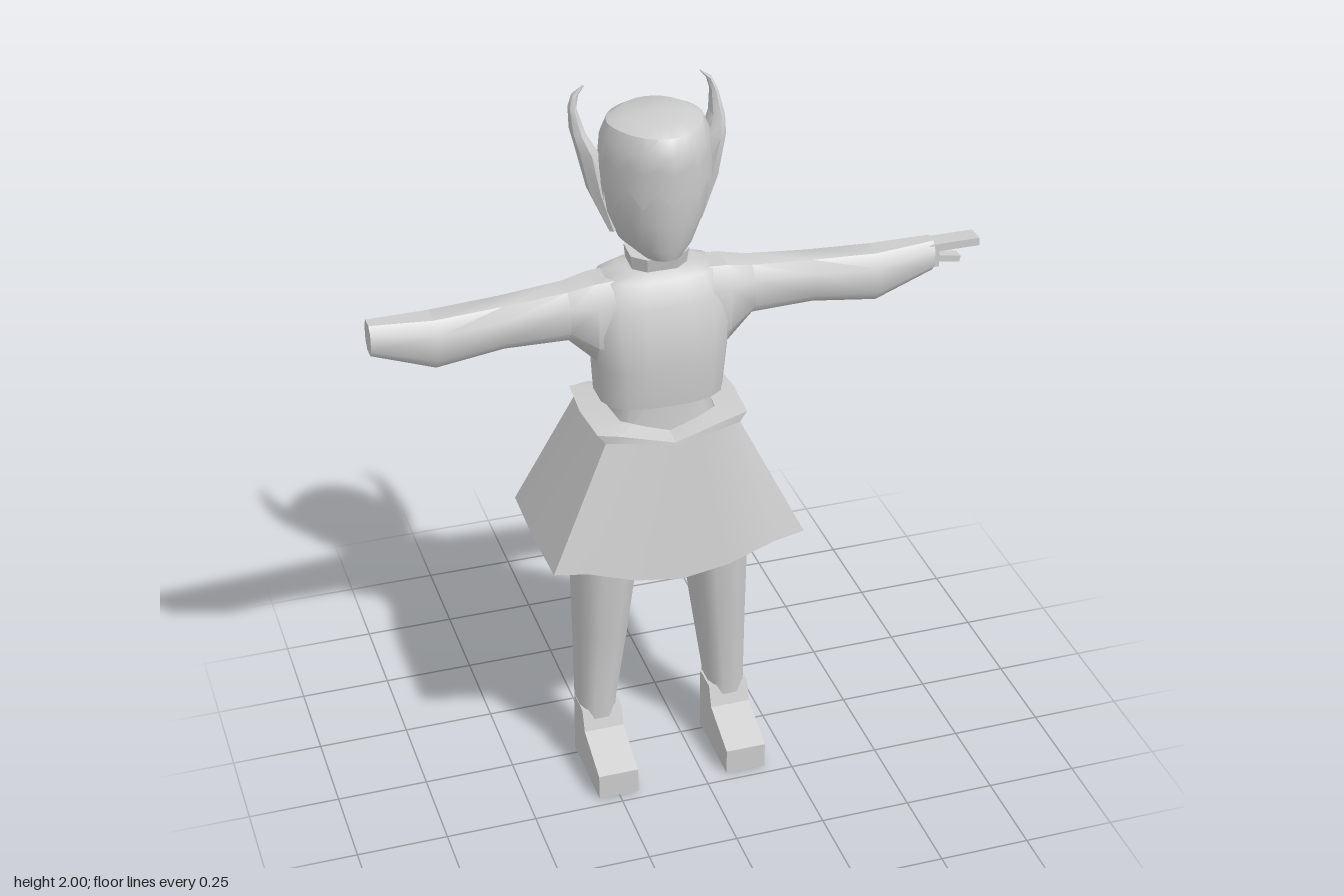
import * as THREE from 'three';
import { toCreasedNormals } from 'three/addons/utils/BufferGeometryUtils.js';

const V = (x, y, z) => new THREE.Vector3(x, y, z);
const grey = new THREE.MeshStandardMaterial({ color: 0xcccccc, side: THREE.DoubleSide });
grey.name = 'plainGrey';

// Skin through equal-length rings, each counter-clockwise seen from the end
function loft(rings, capStart = true, capEnd = true, crease = 0.6) {
  const n = rings[0].length, pos = [];
  const tri = (...p) => p.forEach(v => pos.push(v.x, v.y, v.z));
  for (let i = 0; i < rings.length - 1; i++) {
    for (let j = 0; j < n; j++) {
      const k = (j + 1) % n, r = rings[i], s = rings[i + 1];
      tri(r[j], r[k], s[k]);
      tri(r[j], s[k], s[j]);
    }
  }
  const cap = (r, flip) => {
    const c = r.reduce((a, p) => a.add(p), V(0, 0, 0)).divideScalar(n);
    r.forEach((p, j) => { const q = r[(j + 1) % n]; flip ? tri(c, q, p) : tri(c, p, q); });
  };
  if (capStart) cap(rings[0], true);
  if (capEnd) cap(rings[rings.length - 1], false);
  const g = new THREE.BufferGeometry();
  g.setAttribute('position', new THREE.Float32BufferAttribute(pos, 3));
  return toCreasedNormals(g, crease);
}

// Rounded-square outline; power below 1 squares it off
function outline(n, power) {
  const f = v => Math.sign(v) * Math.abs(v) ** power;
  return Array.from({ length: n }, (_, i) => {
    const a = ((i + 0.5) / n) * Math.PI * 2;
    return [f(Math.cos(a)), f(Math.sin(a))];
  });
}
// Horizontal ring from x and z limits
const ringY = (y, x0, x1, z0, z1, n = 12, power = 0.7) => outline(n, power).map(([c, s]) =>
  V((x0 + x1) / 2 + c * (x1 - x0) / 2, y, (z0 + z1) / 2 - s * (z1 - z0) / 2));
// Upright ring across an arm
const ringX = (x, y0, y1, z0, z1, n = 8, power = 0.75) => outline(n, power).map(([c, s]) =>
  V(x, (y0 + y1) / 2 + c * (y1 - y0) / 2, (z0 + z1) / 2 + s * (z1 - z0) / 2));

function add(parent, name, geometry) {
  const m = new THREE.Mesh(geometry, grey);
  m.name = name;
  parent.add(m);
  return m;
}

// Skirt ring from a quarter outline running from the side to the centre front
function fourWay(q) {
  const p = (k, sx, sz) => V(q[k][0] * sx, q[k][1], q[k][2] * sz);
  return [
    ...[0, 1, 2, 3, 4].map(k => p(k, 1, -1)), ...[3, 2, 1, 0].map(k => p(k, -1, -1)),
    ...[1, 2, 3, 4].map(k => p(k, -1, 1)), ...[3, 2, 1].map(k => p(k, 1, 1)),
  ];
}

// Head outline: height, half width, front z, back z
const HEAD = [
  [1.585, 0.05, 0.11, 0.0], [1.62, 0.105, 0.125, -0.065], [1.7, 0.14, 0.14, -0.115],
  [1.8, 0.15, 0.152, -0.165], [1.9, 0.142, 0.155, -0.14], [1.94, 0.125, 0.13, -0.125],
  [1.957, 0.09, 0.08, -0.1],
];
const HEAD_SIDES = 24;
function headPoint(j, y, scale) {
  let i = 0;
  while (i < HEAD.length - 2 && y > HEAD[i + 1][0]) i++;
  const A = HEAD[i], B = HEAD[i + 1], t = (y - A[0]) / (B[0] - A[0]);
  const [hx, zf, zb] = [1, 2, 3].map(k => A[k] + (B[k] - A[k]) * t);
  const a = (j / HEAD_SIDES) * Math.PI * 2;
  const mid = y < 1.62 ? 0.055 : -0.01, s = -Math.sin(a);
  const z = s > 0 ? mid + (zf - mid) * s ** 1.25 : mid + (mid - zb) * s;
  return V(hx * Math.cos(a) * scale, y, z * scale);
}
const around = f => Array.from({ length: HEAD_SIDES }, (_, j) => f(j));

export function createModel() {
  const model = new THREE.Group();
  model.name = 'figure';
  const body = new THREE.Group();
  body.name = 'body';
  body.position.x = -0.065;
  model.add(body);

  // Torso and waist
  add(body, 'torso', loft([
    ringY(1.17, -0.17, 0.17, -0.115, 0.122, 16), ringY(1.28, -0.178, 0.178, -0.112, 0.132, 16),
    ringY(1.37, -0.19, 0.19, -0.11, 0.122, 16), ringY(1.45, -0.19, 0.19, -0.1, 0.1, 16),
    ringY(1.515, -0.16, 0.16, -0.09, 0.072, 16), ringY(1.535, -0.1, 0.1, -0.075, 0.055, 16),
  ], true, true, 0.9));
  add(body, 'waist', loft([
    ringY(0.95, -0.17, 0.17, -0.12, 0.12), ringY(1.08, -0.15, 0.15, -0.105, 0.11),
    ringY(1.19, -0.125, 0.125, -0.1, 0.105)]));

  // Flared skirt with a dipped hem, then its folded waistband
  const hem = [[0.355, 0.76, 0], [0.35, 0.76, 0.2], [0.26, 0.755, 0.217], [0.13, 0.71, 0.22], [0, 0.69, 0.22]];
  const hip = [[0.19, 1.1, 0], [0.185, 1.1, 0.14], [0.14, 1.1, 0.155], [0.07, 1.085, 0.158], [0, 1.07, 0.16]];
  const rim = [[0.215, 1.125, 0], [0.205, 1.125, 0.135], [0.15, 1.122, 0.152], [0.07, 1.1, 0.156], [0, 1.08, 0.158]];
  const fold = [[0.14, 1.13, 0], [0.13, 1.13, 0.09], [0.1, 1.125, 0.105], [0.06, 1.11, 0.108], [0, 1.09, 0.11]];
  add(body, 'skirt', loft([hem, hip].map(fourWay), false, false));
  add(body, 'waistband', loft([hip, rim, fold].map(fourWay), false, false, 0.4));

  // Legs, feet, arms and horns, mirrored
  const shoe = new THREE.Shape([[-0.02, 0], [0.22, 0], [0.22, 0.075], [0.08, 0.13], [0.06, 0.19], [-0.02, 0.19]]
    .map(p => new THREE.Vector2(...p)));
  const footGeo = new THREE.ExtrudeGeometry(shoe, { depth: 0.113, bevelEnabled: false })
    .rotateY(-Math.PI / 2).translate(0.243, 0, 0);
  const legGeo = loft([
    ringY(0, 0.13, 0.245, -0.07, 0.07), ringY(0.2, 0.135, 0.243, -0.07, 0.072),
    ringY(0.45, 0.1, 0.243, -0.095, 0.097), ringY(0.72, 0.066, 0.245, -0.122, 0.122),
    ringY(0.85, 0.03, 0.235, -0.127, 0.127), ringY(1.0, 0, 0.19, -0.12, 0.12)], true, true, 0.8);
  const armGeo = loft([
    ringX(0.1, 1.25, 1.53, -0.085, 0.085), ringX(0.18, 1.29, 1.525, -0.08, 0.085),
    ringX(0.25, 1.36, 1.507, -0.07, 0.07), ringX(0.42, 1.363, 1.492, -0.063, 0.063),
    ringX(0.6, 1.338, 1.483, -0.063, 0.063), ringX(0.765, 1.395, 1.487, -0.037, 0.037)], true, true, 0.8);
  const hornGeo = loft([
    [1.64, 0.115, -0.01, 0.01, 0.012], [1.75, 0.148, -0.035, 0.026, 0.038], [1.86, 0.17, -0.05, 0.027, 0.055],
    [1.9, 0.185, -0.075, 0.018, 0.045], [1.95, 0.188, -0.108, 0.01, 0.022],
    [1.98, 0.178, -0.115, 0.008, 0.013], [2.0, 0.155, -0.118, 0.003, 0.004],
  ].map(([y, x, z, rx, rz]) => ringY(y, x - rx, x + rx, z - rz, z + rz, 6, 1)));
  for (const [side, sx] of [['left', 1], ['right', -1]]) {
    const half = new THREE.Group();
    half.name = side + 'Limbs';
    half.scale.x = sx;
    body.add(half);
    add(half, side + 'Leg', legGeo);
    add(half, side + 'Foot', footGeo);
    add(half, side + 'Arm', armGeo);
    add(half, side + 'Horn', hornGeo);
  }

  // Left hand: wrist, flat fingers and thumb
  add(body, 'wrist', new THREE.BoxGeometry(0.03, 0.065, 0.056)).position.set(0.765, 1.442, 0);
  add(body, 'fingers', new THREE.BoxGeometry(0.14, 0.022, 0.052)).position.set(0.825, 1.465, 0);
  const thumb = add(body, 'thumb', new THREE.BoxGeometry(0.085, 0.018, 0.03));
  thumb.position.set(0.802, 1.426, 0.005);
  thumb.rotation.z = -0.18;

  // Neck and collar
  add(body, 'neck', loft([ringY(1.52, -0.06, 0.06, -0.06, 0.045, 8), ringY(1.67, -0.055, 0.055, -0.075, 0.03, 8)]));
  const collar = add(body, 'collar', loft([
    ringY(-0.02, -0.078, 0.078, -0.06, 0.06, 8), ringY(0.02, -0.083, 0.083, -0.065, 0.065, 8)]));
  collar.position.set(0, 1.56, -0.005);
  collar.rotation.x = 0.1;

  // Face and jaw, set slightly inside the hair
  add(body, 'face', loft([1.588, 1.62, 1.7, 1.8, 1.88].map(y => around(j => headPoint(j, y, 0.95)))));

  // Hair with a zigzag fringe, long at the back
  const edge = [1.75, 1.8, 1.75, 1.8, 1.735, 1.785, 1.7, 1.63, 1.62, 1.625, 1.63, 1.63, 1.63];
  const hairRings = [0, 0.35, 0.65].map(t => around(j => {
    let k = Math.abs(j - 18);
    if (k > 12) k = 24 - k;
    return headPoint(j, edge[k] + (1.9 - edge[k]) * t, 1);
  }));
  for (const y of [1.9, 1.94, 1.957]) hairRings.push(around(j => headPoint(j, y, 1)));
  add(body, 'hair', loft(hairRings, false, true, 0.7));

  return model;
}
